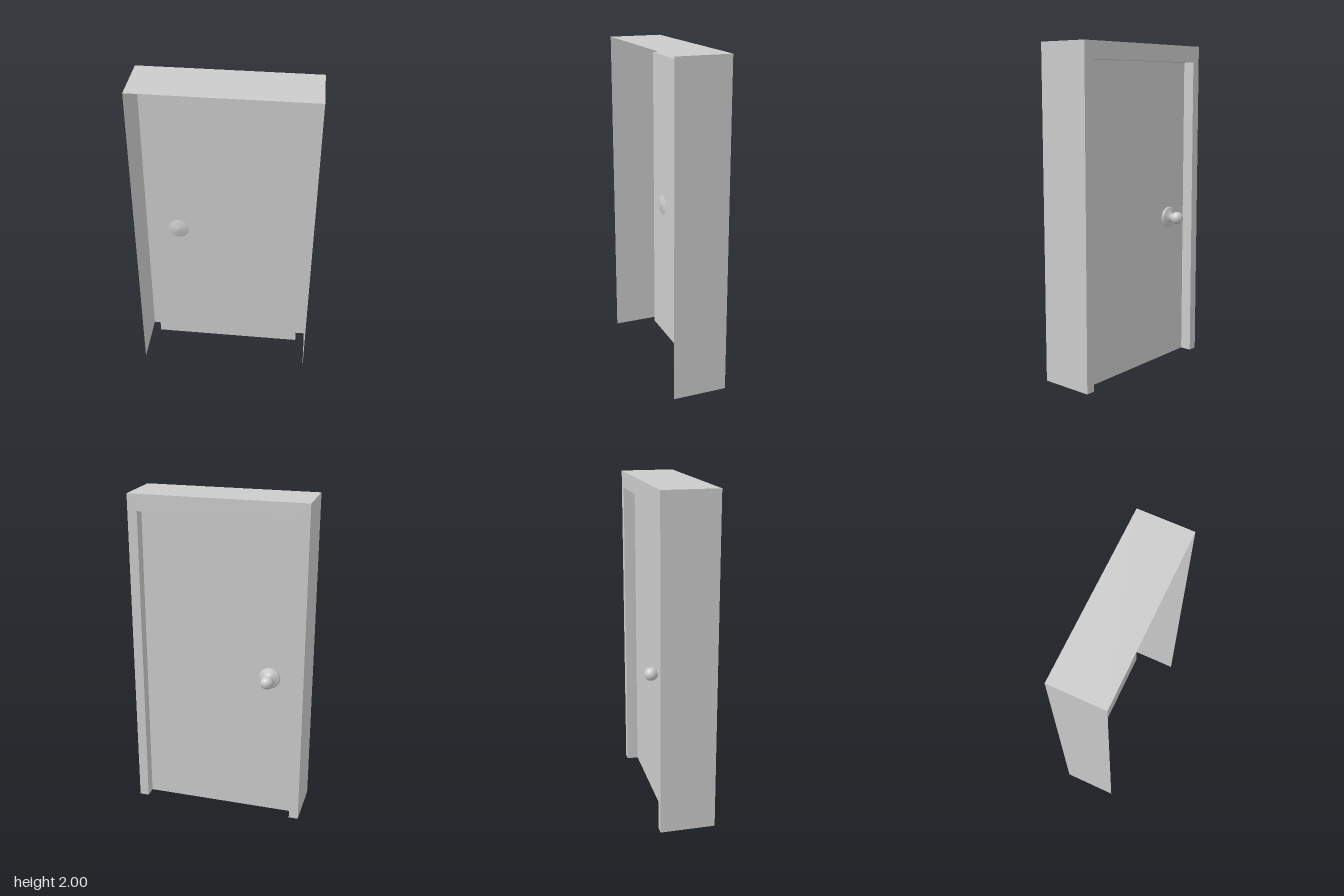
import * as THREE from 'three';

const W = 0.533, H = 2;            // outer half width and height
const OW = 0.475, OH = 1.9;        // opening half width and height
const FRONT = 0.187, BACK = -0.146, DOOR = -0.075;

export function createModel() {
  const model = new THREE.Group();
  const sheetMat = new THREE.MeshStandardMaterial({ color: 0xcccccc, side: THREE.DoubleSide });

  function add(name, geometry, parent = model) {
    const mesh = new THREE.Mesh(geometry, sheetMat);
    mesh.name = name;
    parent.add(mesh);
    return mesh;
  }

  // Three thin sheets (two sides and a top) running from z0 to z1
  function surround(name, halfWidth, height, z0, z1, inward) {
    const group = new THREE.Group();
    group.name = name;
    const depth = z1 - z0, zMid = (z0 + z1) / 2;
    for (const s of [-1, 1]) {
      const side = add(s > 0 ? 'leftSide' : 'rightSide', new THREE.PlaneGeometry(depth, height), group);
      side.rotation.y = (inward ? -s : s) * Math.PI / 2;
      side.position.set(s * halfWidth, height / 2, zMid);
    }
    const top = add('top', new THREE.PlaneGeometry(2 * halfWidth, depth), group);
    top.rotation.x = (inward ? 1 : -1) * Math.PI / 2;
    top.position.set(0, height, zMid);
    model.add(group);
  }
  surround('outerCasing', W, H, BACK, FRONT, false);
  surround('doorReveal', OW, OH, BACK, DOOR, true);

  // Back face of the frame, an arch around the opening
  const arch = new THREE.Shape([
    [-W, 0], [-OW, 0], [-OW, OH], [OW, OH], [OW, 0], [W, 0], [W, H], [-W, H],
  ].map(([x, y]) => new THREE.Vector2(x, y)));
  const face = add('frameFace', new THREE.ShapeGeometry(arch));
  face.rotation.y = Math.PI;
  face.position.z = BACK;

  // Door leaf
  const leaf = add('doorLeaf', new THREE.PlaneGeometry(2 * OW, OH));
  leaf.rotation.y = Math.PI;
  leaf.position.set(0, OH / 2, DOOR);

  // Knob turned about the z axis: shallow front cone, rosette, neck, ball
  const knob = new THREE.Group();
  knob.name = 'doorKnob';
  knob.position.set(-0.313, 0.92, DOOR);
  knob.rotation.x = -Math.PI / 2;
  const rosette = [
    [0, -0.012], [0.066, -0.002], [0.066, 0.008], [0.058, 0.016], [0.042, 0.018],
    [0.036, 0.026], [0.022, 0.03], [0.019, 0.045],
  ].map(([r, y]) => new THREE.Vector2(r, y));
  add('rosetteAndNeck', new THREE.LatheGeometry(rosette, 24), knob);
  const ball = add('ball', new THREE.SphereGeometry(0.04, 20, 12), knob);
  ball.position.y = 0.074;
  model.add(knob);

  return model;
}
